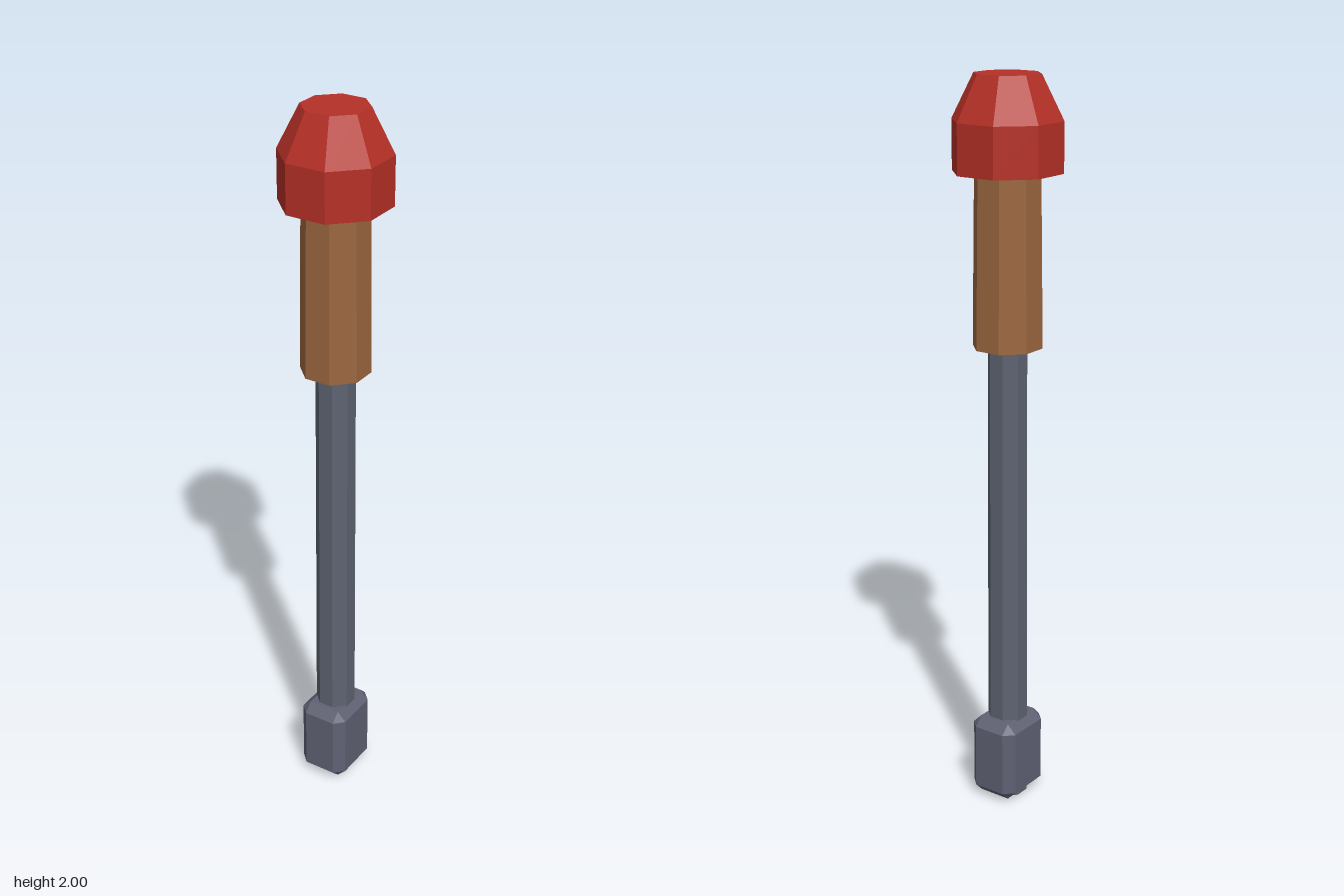
import * as THREE from 'three';
import { ConvexGeometry } from 'three/addons/geometries/ConvexGeometry.js';

const mat = (name, color) => {
  const m = new THREE.MeshStandardMaterial({ color, flatShading: true });
  m.name = name;
  return m;
};

// Octagonal section with flats facing the axes; a0, a1 are half-widths across the flats
function octagon(y0, a0, y1, a1, open = false) {
  const k = 1 / Math.cos(Math.PI / 8);
  const g = new THREE.CylinderGeometry(a1 * k, a0 * k, y1 - y0, 8, 1, open, Math.PI / 8);
  return g.translate(0, (y0 + y1) / 2, 0);
}

// Box with every edge bevelled, standing from y0 to y1
function bevelledBox(hx, hz, y0, y1, b) {
  const pts = [], hy = (y1 - y0) / 2;
  for (const sx of [-1, 1]) for (const sy of [-1, 1]) for (const sz of [-1, 1]) {
    pts.push(new THREE.Vector3(sx * hx, sy * (hy - b), sz * (hz - b)));
    pts.push(new THREE.Vector3(sx * (hx - b), sy * hy, sz * (hz - b)));
    pts.push(new THREE.Vector3(sx * (hx - b), sy * (hy - b), sz * hz));
  }
  return new ConvexGeometry(pts).translate(0, (y0 + y1) / 2, 0);
}

export function createModel() {
  const group = new THREE.Group();
  const red = mat('red cap', 0xb53026);
  const wood = mat('brown grip', 0x9b673f);
  const steel = mat('grey steel', 0x5d6371);
  const iron = mat('grey iron', 0x5f6173);

  const add = (name, geometry, material, parent = group) => {
    const mesh = new THREE.Mesh(geometry, material);
    mesh.name = name;
    parent.add(mesh);
  };

  // Foot block and the slightly tapering shaft that runs through it
  add('footBlock', bevelledBox(0.072, 0.087, 0.004, 0.238, 0.026), iron);
  add('shaft', octagon(0, 0.052, 1.31, 0.049), steel);

  // Grip
  add('grip', octagon(1.3, 0.087, 1.77, 0.081), wood);

  // Cap: straight band, then a flat-topped cone
  const cap = new THREE.Group();
  cap.name = 'cap';
  group.add(cap);
  add('capBand', octagon(1.755, 0.135, 1.885, 0.135), red, cap);
  add('capTop', octagon(1.885, 0.135, 2, 0.081), red, cap);

  return group;
}
